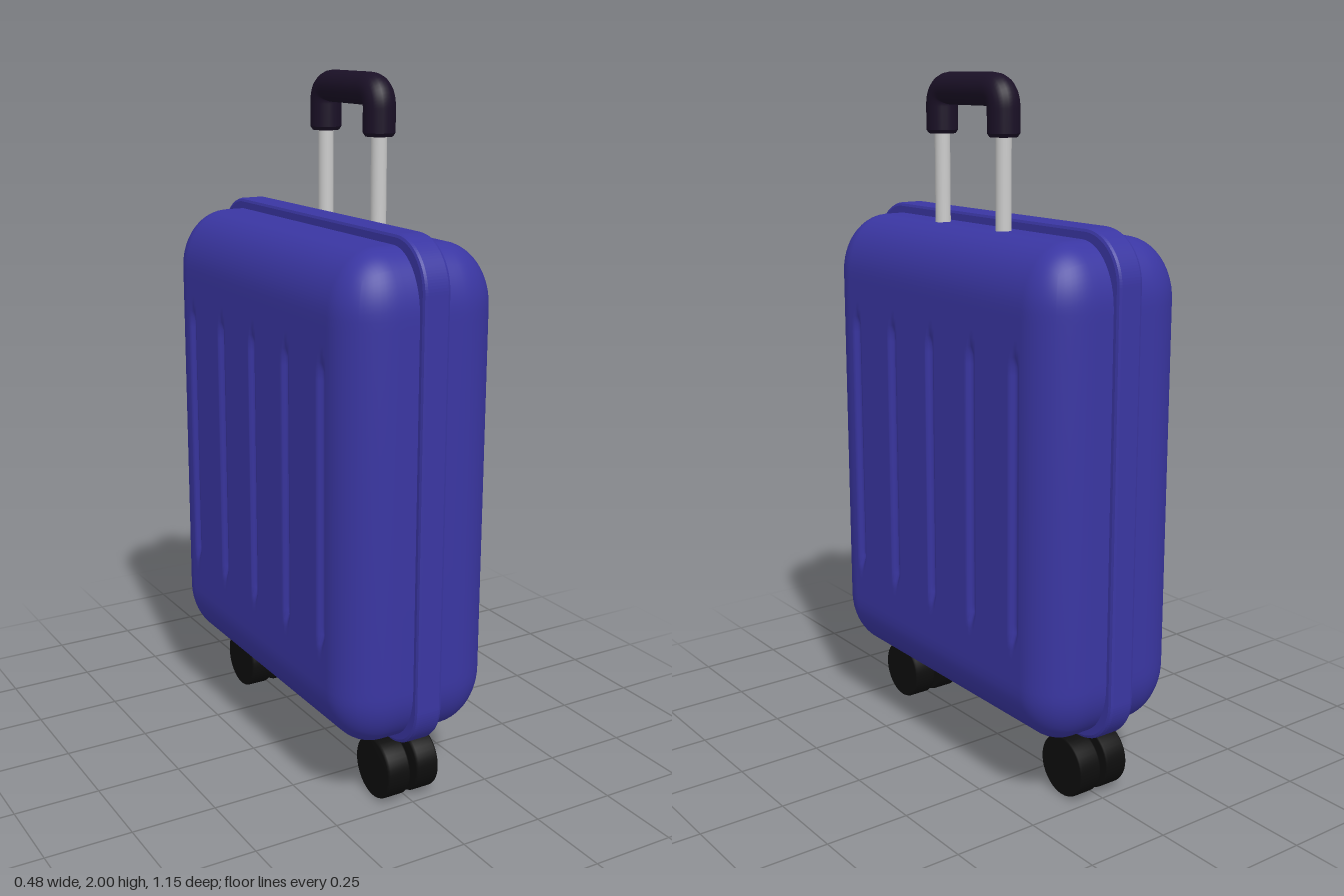
import * as THREE from 'three';
import { mergeVertices } from 'three/addons/utils/BufferGeometryUtils.js';

const mat = (color, roughness = 0.6) => new THREE.MeshStandardMaterial({ color, roughness });
const blue = mat(0x3a36a2), dark = mat(0x1a1026), black = mat(0x0d0d0d), grey = mat(0xcccccc);

function add(parent, name, geometry, material, x = 0, y = 0, z = 0) {
  const mesh = new THREE.Mesh(geometry, material);
  mesh.name = name;
  mesh.position.set(x, y, z);
  parent.add(mesh);
  return mesh;
}

// Soft rounded case with shallow vertical grooves pressed into both broad faces
function shellGeometry() {
  const half = new THREE.Vector3(0.238, 0.69, 0.553);
  const r = new THREE.Vector3(0.14, 0.17, 0.13);
  const inner = half.clone().sub(r);
  let g = new THREE.BoxGeometry(half.x * 2, half.y * 2, half.z * 2, 24, 56, 180);
  g.deleteAttribute('uv');
  g.deleteAttribute('normal');
  g = mergeVertices(g, 1e-5);
  const pos = g.attributes.position;
  const p = new THREE.Vector3(), q = new THREE.Vector3();
  for (let i = 0; i < pos.count; i++) {
    p.fromBufferAttribute(pos, i);
    const onFace = Math.abs(p.x) > half.x - 1e-4;
    q.copy(p).clamp(inner.clone().negate(), inner);
    p.sub(q).divide(r).normalize().multiply(r).add(q);
    if (onFace) {
      for (const z of [-0.39, -0.195, 0, 0.195, 0.39]) {
        // distance to the groove's centre line, which runs up the face
        const dy = Math.max(0, Math.abs(p.y) - 0.37);
        const d = Math.hypot(p.z - z, dy * 0.6) / 0.018;
        if (d < 1) p.x -= Math.sign(p.x) * 0.014 * (1 - d * d);
      }
    }
    pos.setXYZ(i, p.x, p.y, p.z);
  }
  g.computeVertexNormals();
  return g;
}

// Rounded rectangular band around the seam
function bandGeometry(w, h, r, depth, bevel) {
  const s = new THREE.Shape();
  const x = w / 2 - bevel, y = h / 2 - bevel;
  s.moveTo(-x + r, -y);
  s.lineTo(x - r, -y);
  s.absarc(x - r, -y + r, r, -Math.PI / 2, 0);
  s.absarc(x - r, y - r, r, 0, Math.PI / 2);
  s.absarc(-x + r, y - r, r, Math.PI / 2, Math.PI);
  s.absarc(-x + r, -y + r, r, Math.PI, Math.PI * 1.5);
  const d = depth - bevel * 2;
  return new THREE.ExtrudeGeometry(s, {
    depth: d, bevelEnabled: true, bevelThickness: bevel, bevelSize: bevel, bevelSegments: 2, curveSegments: 14
  }).translate(0, 0, -d / 2).rotateY(Math.PI / 2);
}

// Rubber grip bent over the two telescopic rods
function gripCurve() {
  const v = (y, z) => new THREE.Vector3(0, y, z);
  const c = new THREE.CurvePath();
  const top = 1.955, z = 0.145, r = 0.05;
  c.add(new THREE.LineCurve3(v(1.84, z), v(top - r, z)));
  c.add(new THREE.QuadraticBezierCurve3(v(top - r, z), v(top, z), v(top, z - r)));
  c.add(new THREE.LineCurve3(v(top, z - r), v(top, r - z)));
  c.add(new THREE.QuadraticBezierCurve3(v(top, r - z), v(top, -z), v(top - r, -z)));
  c.add(new THREE.LineCurve3(v(top - r, -z), v(1.84, -z)));
  return c;
}

function wheelGeometry() {
  const R = 0.09, h = 0.036, b = 0.007;
  const pts = [[0, -h], [R - b, -h], [R - b * 0.3, -h + b * 0.3], [R, -h + b],
    [R, h - b], [R - b * 0.3, h - b * 0.3], [R - b, h], [0, h]];
  return new THREE.LatheGeometry(pts.map(p => new THREE.Vector2(...p)), 40).rotateZ(Math.PI / 2);
}

export function createModel() {
  const model = new THREE.Group();
  model.name = 'suitcase';

  add(model, 'shell', shellGeometry(), blue, 0, 0.89, 0);
  add(model, 'seamBand', bandGeometry(1.146, 1.43, 0.13, 0.082, 0.01), blue, 0, 0.895, 0);

  // Pull handle
  const handle = new THREE.Group();
  handle.name = 'pullHandle';
  handle.position.x = 0.087;
  model.add(handle);
  add(handle, 'grip', new THREE.TubeGeometry(gripCurve(), 80, 0.045, 20), dark);
  for (const s of [-1, 1]) {
    add(handle, 'gripEnd', new THREE.CylinderGeometry(0.045, 0.038, 0.01, 20), dark, 0, 1.835, s * 0.145);
    add(handle, 'rod', new THREE.CylinderGeometry(0.022, 0.022, 0.36, 20), grey, 0, 1.73, s * 0.145);
  }

  // Twin wheels at both ends of the base
  const wheel = wheelGeometry();
  for (const s of [-1, 1]) {
    const caster = new THREE.Group();
    caster.name = 'caster';
    caster.position.set(0, 0.092, s * 0.415);
    model.add(caster);
    for (const side of [-1, 1]) add(caster, 'wheel', wheel, black, side * 0.047, 0, 0);
    add(caster, 'axle', new THREE.CylinderGeometry(0.03, 0.03, 0.04, 20).rotateZ(Math.PI / 2), grey);
    add(caster, 'mount', new THREE.CylinderGeometry(0.035, 0.03, 0.05, 20), black, 0, 0.1, 0);
  }
  return model;
}
